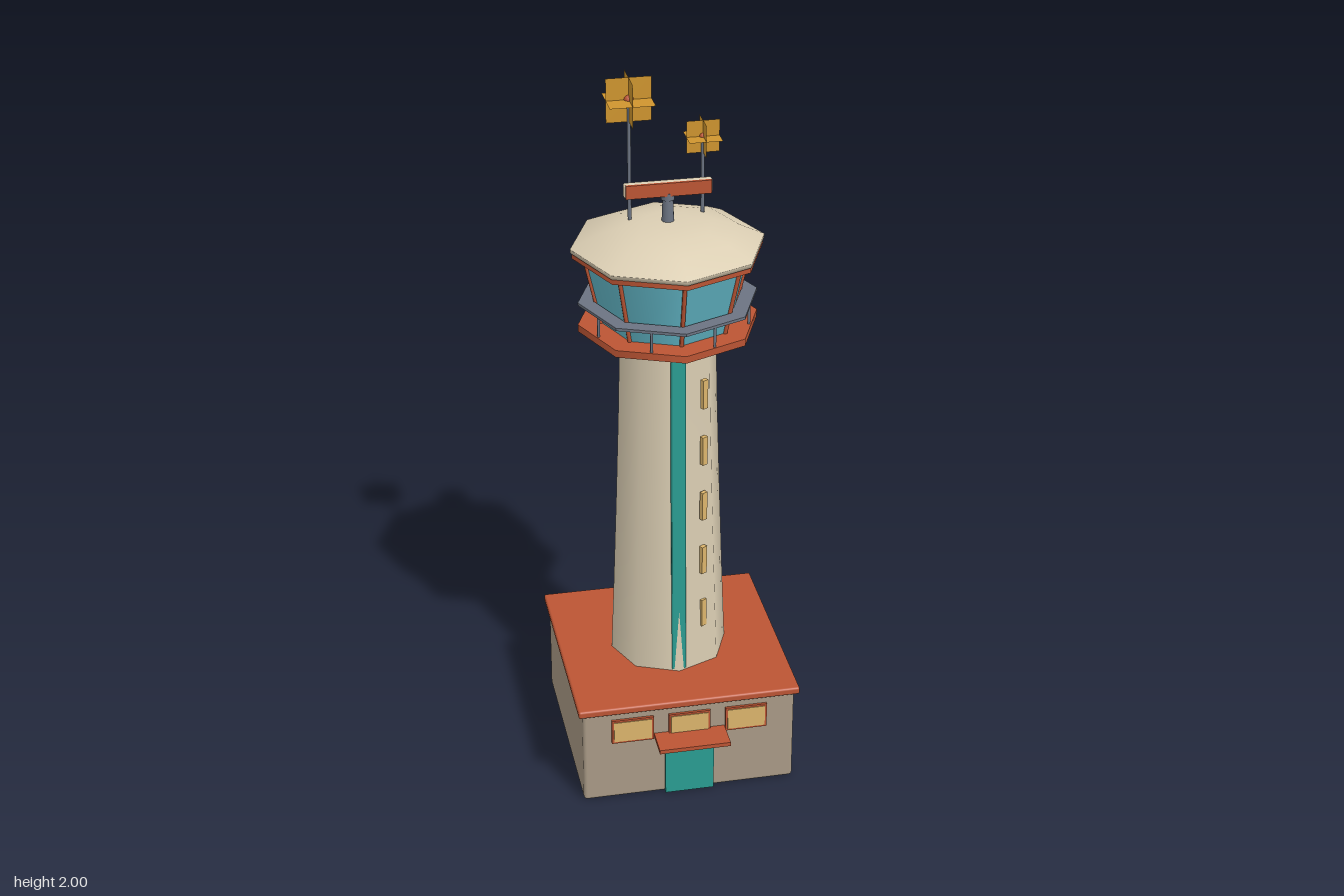
import * as THREE from 'three';
import { RoundedBoxGeometry } from 'three/addons/geometries/RoundedBoxGeometry.js';

const CZ = -0.0375; // z of the tower axis

function mat(name, color, side = THREE.FrontSide) {
  const m = new THREE.MeshStandardMaterial({ color, side });
  m.name = name;
  return m;
}

export function createModel() {
  const plaster = mat('cream plaster', 0xdccfb4);
  const stone = mat('taupe stone', 0xa99a86);
  const brick = mat('brick red', 0xbc5534);
  const teal = mat('teal', 0x2a9d92);
  const glass = mat('blue glass', 0x62b6c6);
  const amber = mat('window amber', 0xdcb56c);
  const steel = mat('slate steel', 0x6c7482);
  const ochre = mat('ochre panel', 0xcf952e, THREE.DoubleSide);

  const model = new THREE.Group();
  model.name = 'controlTower';

  function add(name, geometry, material, x = 0, y = 0, z = 0, parent = model) {
    const mesh = new THREE.Mesh(geometry, material);
    mesh.name = name;
    mesh.position.set(x, y, z);
    parent.add(mesh);
    return mesh;
  }
  const box = (w, h, d) => new THREE.BoxGeometry(w, h, d);
  const rbox = (w, h, d, r) => new RoundedBoxGeometry(w, h, d, 2, r);
  const octagon = (top, bottom, h, open = false) => new THREE.CylinderGeometry(top, bottom, h, 8, 1, open);
  const lathe = (pts) => new THREE.LatheGeometry(pts.map(([r, y]) => new THREE.Vector2(r, y)), 8);

  // Base building with flat roof
  add('baseBuilding', rbox(0.6, 0.287, 0.6, 0.01), stone, 0, 0.1435, CZ);
  add('baseRoof', rbox(0.625, 0.022, 0.625, 0.006), brick, 0, 0.296, CZ);
  add('door', box(0.138, 0.18, 0.016), teal, 0, 0.09, 0.2635);
  add('doorCanopy', box(0.2, 0.012, 0.09), brick, 0, 0.196, 0.302);

  // Framed windows on the front and the left side
  function framedWindow(x, y, z, turn) {
    const g = new THREE.Group();
    g.name = 'baseWindow';
    g.position.set(x, y, z);
    g.rotation.y = turn;
    add('windowFrame', box(0.118, 0.075, 0.012), brick, 0, 0, 0, g);
    add('windowPane', box(0.106, 0.063, 0.006), amber, 0, 0, 0.005, g);
    model.add(g);
  }
  for (const i of [-1, 0, 1]) {
    framedWindow(i * 0.161, 0.225, 0.2635, 0);
    framedWindow(0.301, 0.204, CZ + i * 0.173, Math.PI / 2);
  }

  // Tapering octagonal shaft
  add('shaft', lathe([[0.165, 0.3], [0.157, 0.5], [0.146, 0.8], [0.138, 1.05], [0.133, 1.25], [0.133, 1.32]]),
    plaster, 0, 0, CZ);
  const strip = add('frontStrip', rbox(0.04, 0.965, 0.02, 0.004), teal, 0, 0.792, 0.1065);
  strip.rotation.x = -0.0105;
  for (let i = 0; i < 5; i++) {
    const slit = add('shaftSlit', box(0.017, 0.085, 0.012), amber, 0.0735, 0.472 + i * 0.172, CZ + 0.127);
    slit.rotation.y = Math.PI / 6;
  }

  // Gallery deck and railing
  add('galleryDeck', octagon(0.244, 0.244, 0.02), brick, 0, 1.325, CZ);
  const ring = new THREE.Shape();
  const hole = new THREE.Path();
  for (let i = 0; i < 8; i++) {
    const a = i * Math.PI / 4;
    const put = i ? 'lineTo' : 'moveTo';
    ring[put](0.243 * Math.cos(a), 0.243 * Math.sin(a));
    hole[put](0.2 * Math.cos(a), 0.2 * Math.sin(a));
  }
  ring.closePath();
  hole.closePath();
  ring.holes.push(hole);
  const rail = add('galleryRail', new THREE.ExtrudeGeometry(ring, { depth: 0.008, bevelEnabled: false }),
    steel, 0, 1.391, CZ);
  rail.rotation.x = -Math.PI / 2;
  for (let i = 0; i < 8; i++) {
    const a = (i + 0.5) * Math.PI / 4;
    add('railPost', new THREE.CylinderGeometry(0.004, 0.004, 0.06, 6), steel,
      0.219 * Math.sin(a), 1.364, CZ + 0.219 * Math.cos(a));
  }

  // Glazed cab with leaning mullions on the corners
  add('cabGlass', octagon(0.225, 0.18, 0.2, true), glass, 0, 1.435, CZ);
  const up = new THREE.Vector3(0, 1, 0);
  for (let i = 0; i < 8; i++) {
    const a = i * Math.PI / 4;
    const low = new THREE.Vector3(0.181 * Math.sin(a), 1.335, CZ + 0.181 * Math.cos(a));
    const high = new THREE.Vector3(0.226 * Math.sin(a), 1.535, CZ + 0.226 * Math.cos(a));
    const mullion = add('mullion', new THREE.CylinderGeometry(0.006, 0.006, low.distanceTo(high), 6), brick);
    mullion.position.copy(low).lerp(high, 0.5);
    mullion.quaternion.setFromUnitVectors(up, high.sub(low).normalize());
  }

  // Domed roof
  add('roofRim', octagon(0.257, 0.257, 0.018), brick, 0, 1.537, CZ);
  add('cabRoof', lathe([[0, 1.543], [0.26, 1.543], [0.261, 1.554]]), plaster, 0, 0, CZ);
  add('cabRoofDome', lathe([[0.261, 1.554], [0.19, 1.588], [0.125, 1.606], [0.065, 1.615], [0, 1.615]]),
    plaster, 0, 0, CZ);

  // Radar
  add('radarPedestal', new THREE.CylinderGeometry(0.014, 0.017, 0.08, 12), steel, 0, 1.645, CZ);
  add('radarHead', new THREE.CylinderGeometry(0.018, 0.018, 0.02, 12), steel, 0, 1.685, CZ);
  const radar = new THREE.Group();
  radar.name = 'radarAntenna';
  radar.position.set(0, 1.707, CZ);
  add('radarBack', rbox(0.236, 0.038, 0.022, 0.006), plaster, 0, 0, 0, radar);
  add('radarFace', box(0.228, 0.037, 0.008), brick, 0, 0, 0.013, radar);
  model.add(radar);

  // Masts carrying reflectors of three crossed square plates
  function reflectorMast(x, y, z, size, ball) {
    add('mast', new THREE.CylinderGeometry(0.005, 0.005, y - 1.57, 8), steel, x, (y + 1.57) / 2, z);
    add('mastBall', new THREE.SphereGeometry(ball, 10, 8), brick, x, y, z);
    const g = new THREE.Group();
    g.name = 'reflector';
    g.position.set(x, y, z);
    for (const [rx, ry] of [[0, 0], [Math.PI / 2, 0], [0, Math.PI / 2]]) {
      add('reflectorPlate', new THREE.PlaneGeometry(size, size), ochre, 0, 0, 0, g).rotation.set(rx, ry, 0);
    }
    model.add(g);
  }
  reflectorMast(-0.094, 1.94, -0.079, 0.12, 0.013);
  reflectorMast(0.106, 1.817, -0.099, 0.089, 0.01);

  return model;
}
